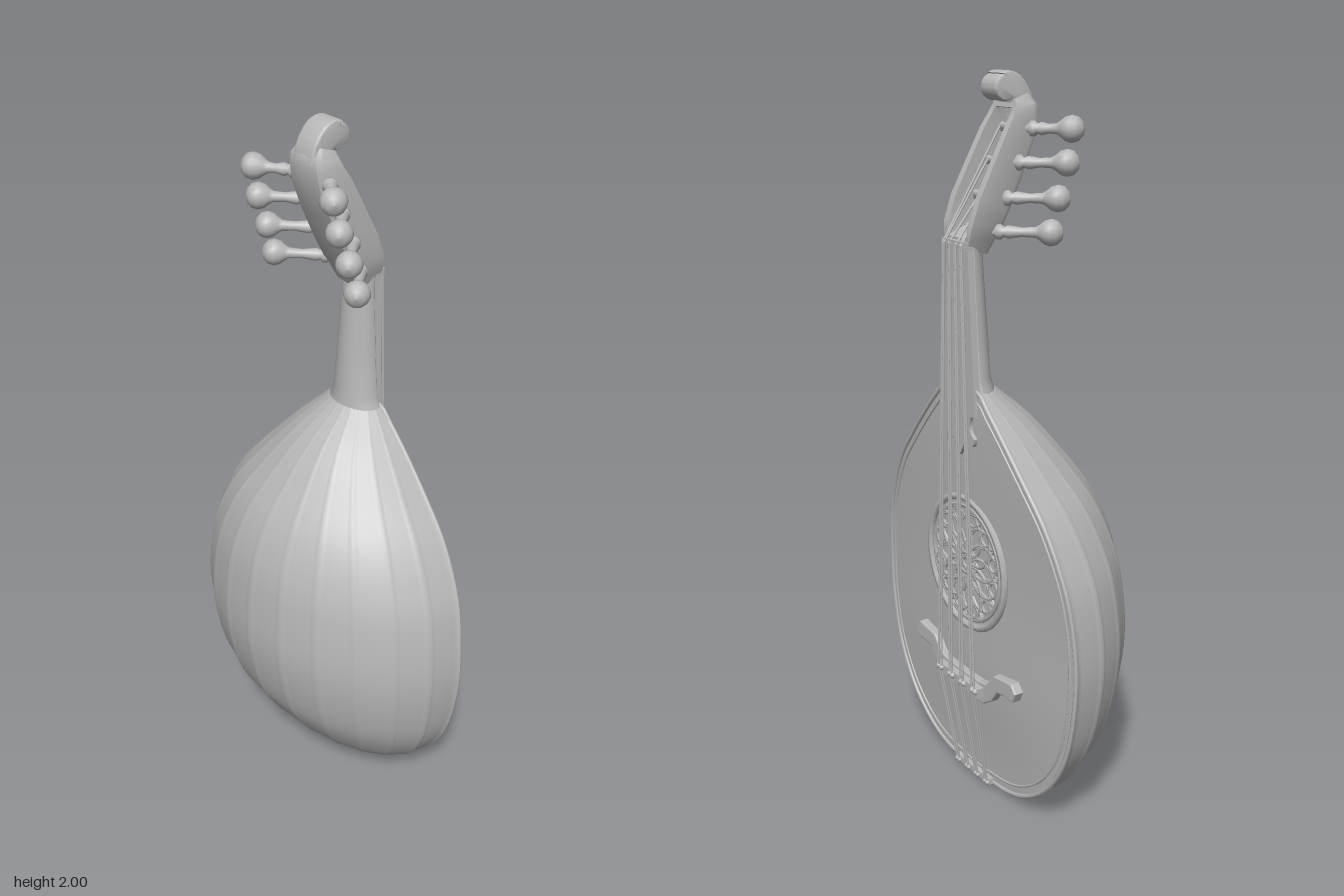
import * as THREE from 'three';
import { toCreasedNormals } from 'three/addons/utils/BufferGeometryUtils.js';

const V = (x, y, z) => new THREE.Vector3(x, y, z);
const grey = new THREE.MeshStandardMaterial({ color: 0xb8b8b8, side: THREE.DoubleSide });
grey.name = 'plain grey';

// Surface from a rule f(u, v); the outside is along du x dv
function grid(nu, nv, f) {
  const pos = [], idx = [];
  for (let j = 0; j <= nv; j++) for (let i = 0; i <= nu; i++) pos.push(...f(i / nu, j / nv));
  for (let j = 0; j < nv; j++) for (let i = 0; i < nu; i++) {
    const a = j * (nu + 1) + i, c = a + nu + 1;
    idx.push(a, a + 1, c, a + 1, c + 1, c);
  }
  const g = new THREE.BufferGeometry();
  g.setAttribute('position', new THREE.Float32BufferAttribute(pos, 3));
  g.setIndex(idx);
  g.computeVertexNormals();
  return g;
}

// Body outline: half width, height, deepest z of the bowl
const outline = new THREE.CatmullRomCurve3([
  [0.03, 0.003, -0.13], [0.2, 0.025, -0.06], [0.33, 0.1, 0.045], [0.41, 0.2, 0.125], [0.455, 0.31, 0.185],
  [0.48, 0.5, 0.226], [0.457, 0.7, 0.218], [0.42, 0.8, 0.198], [0.362, 0.9, 0.158], [0.275, 1.0, 0.09],
  [0.18, 1.1, 0.005], [0.085, 1.19, -0.1],
].map(p => V(...p)));
const rows = outline.getPoints(90);
function bodyAt(y) {
  let k = rows.findIndex(r => r.y >= y);
  if (k < 0) return rows[rows.length - 1];
  if (k === 0) return rows[0];
  const a = rows[k - 1], b = rows[k];
  return a.clone().lerp(b, (y - a.y) / (b.y - a.y));
}
const smooth = THREE.MathUtils.smoothstep;
const rimZ = y => -0.147 - 0.035 * smooth(y, 0.5, 1.2);
const middleZ = y => -0.15 - 0.024 * smooth(y, 0, 0.4) - 0.011 * smooth(y, 0.6, 1.2);
function boardZ(x, y) {
  const t = Math.min(1, Math.abs(x) / bodyAt(y).x);
  return middleZ(y) + (rimZ(y) - middleZ(y)) * t ** 1.7;
}

export function createModel() {
  const model = new THREE.Group();
  const add = (name, geo, parent = model) => {
    const m = new THREE.Mesh(geo, grey);
    m.name = name;
    parent.add(m);
    return m;
  };
  const group = name => {
    const g = new THREE.Group();
    g.name = name;
    model.add(g);
    return g;
  };
  const box = (name, w, h, d, x, y, z, parent) => add(name, new THREE.BoxGeometry(w, h, d).translate(x, y, z), parent);
  // Solid of revolution whose axis starts at a and points to b
  const aim = (mesh, a, b) => {
    mesh.position.copy(a);
    mesh.quaternion.setFromUnitVectors(V(0, 1, 0), b.clone().sub(a).normalize());
    return mesh;
  };
  const rod = (name, a, b, r, parent) => {
    const L = a.distanceTo(b);
    return aim(add(name, new THREE.CylinderGeometry(r, r, L, 6).translate(0, L / 2, 0), parent), a, b);
  };

  // Bowl of twelve ribs with a fine ridge at each joint
  add('bowl', grid(120, 90, (u, v) => {
    const r = rows[Math.round(v * 90)], a = (u - 0.5) * Math.PI, z0 = rimZ(r.y);
    const s = u * 12, d = Math.abs(s - Math.round(s));
    const k = 1 + (d < 0.04 ? 0.008 : 0) - 0.006 * Math.sin(Math.PI * d);
    return [r.x * k * Math.sin(a), r.y, z0 + (r.z - z0) * k * Math.cos(a)];
  }));

  // Domed soundboard with edge binding and an inlaid line
  add('soundboard', grid(32, 90, (u, v) => {
    const r = rows[Math.round(v * 90)], x = r.x * (1 - 2 * u);
    return [x, r.y, boardZ(x, r.y)];
  }));
  const edge = (name, k, radius) => {
    const pts = [1, -1].flatMap(s => {
      const side = rows.filter((_, i) => i % 3 === 0).map(r => {
        const y = 0.6 + (r.y - 0.6) * k, x = s * r.x * k;
        return V(x, y, boardZ(x, y));
      });
      return s > 0 ? side : side.reverse();
    });
    add(name, new THREE.TubeGeometry(new THREE.CatmullRomCurve3(pts, true), 160, radius, 6, true));
  };
  edge('edgeBinding', 0.992, 0.007);
  edge('inlayLine', 0.945, 0.004);

  // Neck: rounded behind, flat under the strings
  const neckRows = [[1.14, 0.1, -0.1], [1.19, 0.087, -0.1], [1.22, 0.074, -0.108], [1.35, 0.064, -0.113],
    [1.48, 0.055, -0.121], [1.55, 0.053, -0.125], [1.585, 0.056, -0.13]];
  add('neck', grid(32, neckRows.length - 1, (u, v) => {
    const [y, w, zf] = neckRows[Math.round(v * (neckRows.length - 1))], a = u * Math.PI * 2, s = Math.sin(a);
    return [-w * Math.cos(a), y, -0.172 + s * (s > 0 ? zf + 0.172 : 0.012)];
  }));
  const boardShape = new THREE.Shape([[-0.078, 1.12], [0.078, 1.12], [0.052, 1.57], [-0.052, 1.57]]
    .map(p => new THREE.Vector2(...p)));
  add('fingerboard', new THREE.ExtrudeGeometry(boardShape, { depth: 0.018, bevelEnabled: false }).translate(0, 0, -0.193));
  box('nut', 0.11, 0.022, 0.03, 0, 1.572, -0.19);

  // Curled ornament below the fingerboard
  const tip = new THREE.Shape();
  tip.moveTo(-0.06, 1.12);
  tip.lineTo(0.06, 1.12);
  tip.quadraticCurveTo(0.035, 1.08, 0.075, 1.06);
  tip.quadraticCurveTo(0.07, 1.02, 0.03, 1.045);
  tip.lineTo(0, 1.0);
  tip.lineTo(-0.03, 1.045);
  tip.quadraticCurveTo(-0.07, 1.02, -0.075, 1.06);
  tip.quadraticCurveTo(-0.035, 1.08, -0.06, 1.12);
  add('fingerboardOrnament', new THREE.ExtrudeGeometry(tip, { depth: 0.022, bevelEnabled: false }).translate(0, 0, -0.193));

  // Pegbox trough: front z, y, back z, y, half width, floor depth
  const stations = [
    [-0.125, 1.545, -0.19, 1.56, 0.05, 1], [-0.105, 1.585, -0.193, 1.59, 0.062, 1], [-0.09, 1.61, -0.188, 1.625, 0.069, 0.35],
    [-0.06, 1.665, -0.165, 1.69, 0.07, 0.3], [-0.015, 1.76, -0.12, 1.775, 0.068, 0.3], [0.018, 1.84, -0.075, 1.86, 0.065, 0.3],
    [0.026, 1.89, -0.055, 1.89, 0.061, 0.4], [0.025, 1.92, -0.045, 1.91, 0.057, 1], [0.005, 1.945, -0.04, 1.93, 0.045, 1]];
  const section = f => [[-1, 1], [-1, 0.2], [-0.85, 0.03], [0, -0.03], [0.85, 0.03], [1, 0.2], [1, 1],
    [0.68, 1], [0.68, f], [-0.68, f], [-0.68, 1], [-1, 1]];
  add('pegbox', toCreasedNormals(grid(11, stations.length + 1, (u, v) => {
    const j = Math.round(v * (stations.length + 1)) - 1, end = j < 0 || j >= stations.length;
    const [zf, yf, zb, yb, w, f] = stations[Math.min(Math.max(j, 0), stations.length - 1)];
    const [x, d] = end ? [0, 0.5] : section(f)[Math.round(u * 11)];
    return [x * w, yf + (yb - yf) * d, zf + (zb - zf) * d];
  }), 0.7));

  // Scroll curling back over the pegbox
  const curl = new THREE.Shape();
  curl.moveTo(0.02, 1.91);
  curl.quadraticCurveTo(0.015, 1.955, -0.02, 1.985);
  curl.quadraticCurveTo(-0.045, 2.0, -0.065, 1.993);
  curl.absarc(-0.06, 1.96, 0.028, Math.PI * 0.5, Math.PI * 1.6, false);
  curl.quadraticCurveTo(-0.035, 1.95, -0.035, 1.9);
  add('scroll', toCreasedNormals(new THREE.ExtrudeGeometry(curl, {
    depth: 0.056, bevelThickness: 0.01, bevelSize: 0.006, bevelSegments: 3, curveSegments: 10,
  }).rotateY(-Math.PI / 2).translate(0.028, 0, 0), 0.6));

  // Four tuning pegs on each side: y, ball x, ball z, root z
  const pegRows = [[1.86, 0.155, 0.058, -0.012], [1.777, 0.159, 0.042, -0.055], [1.69, 0.162, 0.012, -0.092], [1.606, 0.166, -0.012, -0.118]];
  const pegs = group('tuningPegs');
  for (const s of [1, -1]) for (const [y, bx, bz, rz] of pegRows) {
    const a = V(s * 0.058, y - 0.002, rz), b = V(s * bx, y, bz), L = a.distanceTo(b);
    const profile = [[0, -0.02], [0.012, -0.02], [0.012, 0.005], [0.02, 0.01], [0.02, 0.02], [0.013, 0.028], [0.017, 0.04],
      [0.012, L * 0.5], [0.014, L - 0.04], [0.02, L - 0.03], [0.031, L - 0.016], [0.035, L], [0.031, L + 0.016], [0.018, L + 0.028], [0, L + 0.032]];
    aim(add('tuningPeg', new THREE.LatheGeometry(profile.map(p => new THREE.Vector2(...p)), 18), pegs), a, b);
    if (s > 0) rod('pegShaft', V(-0.055, y, rz - 0.012), V(0.055, y, rz - 0.012), 0.009, pegs);
  }

  // Pierced rose: rings, interlaced circles and star rods
  const rose = group('rose'), roseY = 0.68, roseZ = -0.175;
  const ring = (name, r, t, x = 0, y = 0) =>
    add(name, new THREE.TorusGeometry(r, t, 6, 36).translate(x, roseY + y, roseZ), rose);
  ring('roseRim', 0.19, 0.011);
  ring('roseInnerRing', 0.168, 0.006);
  ring('roseCentre', 0.03, 0.007);
  for (let i = 0; i < 12; i++) {
    const a = i * Math.PI / 6, at = (r, t) => V(r * Math.cos(t), roseY + r * Math.sin(t), roseZ);
    ring('roseCircle', 0.075, 0.005, 0.09 * Math.cos(a), 0.09 * Math.sin(a));
    ring('roseBead', 0.02, 0.005, 0.142 * Math.cos(a + 0.26), 0.142 * Math.sin(a + 0.26));
    rod('roseStar', at(0.17, a), at(0.17, a + Math.PI * 5 / 6), 0.004, rose);
  }

  // Bridge with upswept ends
  const half = [[0, 0.29], [0.1, 0.29], [0.14, 0.315], [0.17, 0.355], [0.21, 0.362], [0.245, 0.36], [0.257, 0.385],
    [0.24, 0.405], [0.2, 0.4], [0.16, 0.395], [0.12, 0.352], [0.08, 0.345], [0, 0.345]];
  const wing = half.concat(half.slice(1, -1).reverse().map(([x, y]) => [-x, y]));
  add('bridge', new THREE.ExtrudeGeometry(new THREE.Shape(wing.map(p => new THREE.Vector2(...p))),
    { depth: 0.024, bevelThickness: 0.005, bevelSize: 0.004, bevelSegments: 2 }).translate(0, 0, -0.187));
  box('bridgeSaddle', 0.215, 0.03, 0.025, 0, 0.325, -0.2);

  // Tail rail and four pairs of strings
  box('tailRail', 0.18, 0.018, 0.02, 0, 0.018, -0.155);
  const strings = group('strings');
  for (let i = 0; i < 8; i++) {
    const k = (Math.floor(i / 2) - 1.5) / 1.5 + (i % 2 - 0.5) * 0.16;
    const [y, , , rz] = pegRows[i < 4 ? i : 7 - i];
    const path = [V(k * 0.075, 0.015, -0.166), V(k * 0.088, 0.33, -0.216), V(k * 0.042, 1.572, -0.207), V(k * 0.032, y, rz - 0.022)];
    for (let j = 0; j < 3; j++) rod('string', path[j], path[j + 1], 0.0035, strings);
    add('stringKnot', new THREE.SphereGeometry(0.01, 8, 6).translate(k * 0.09, 0.33, -0.213), strings);
    add('tailPin', new THREE.SphereGeometry(0.009, 8, 6).translate(k * 0.075, 0.015, -0.164), strings);
  }
  return model;
}
